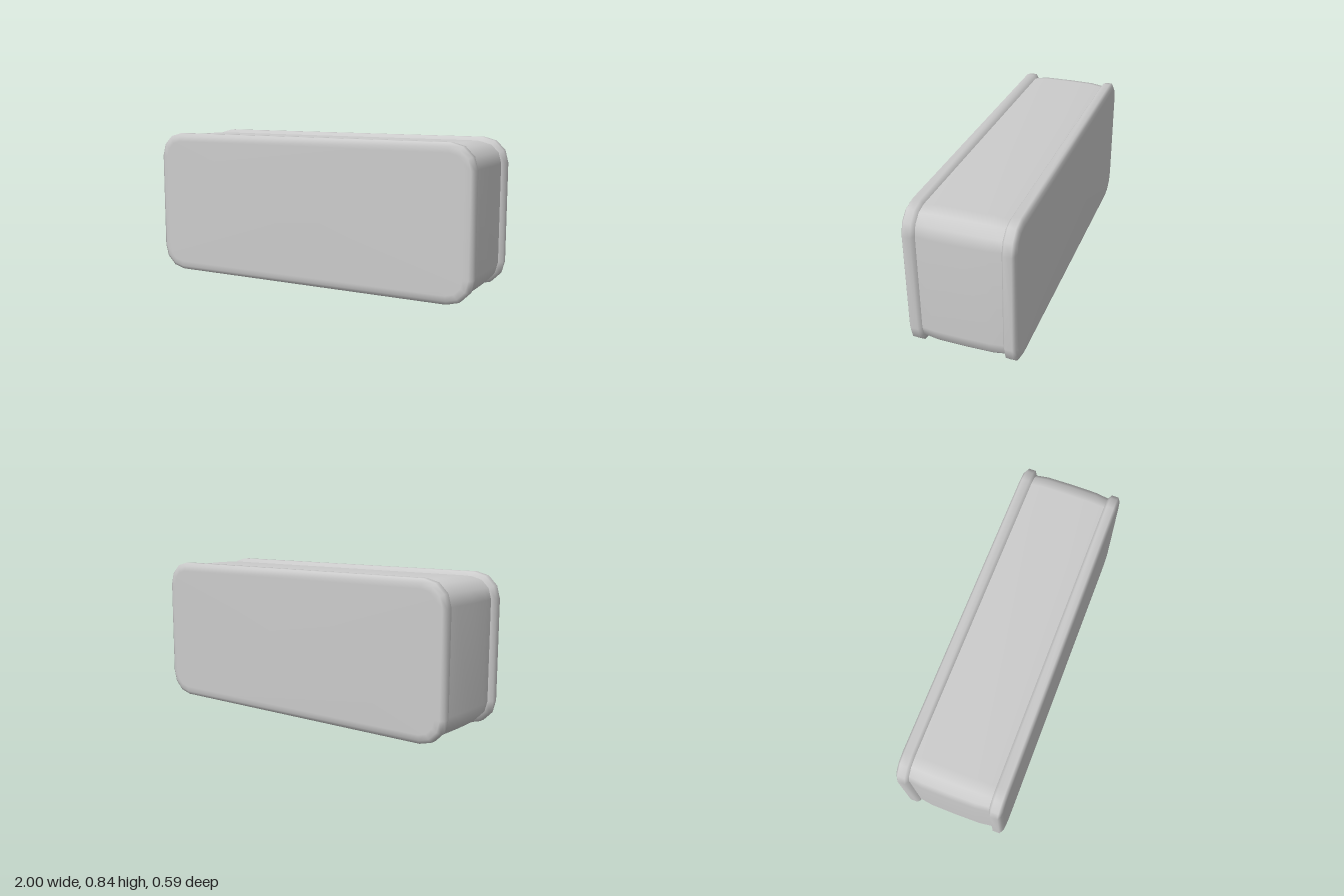
import * as THREE from 'three';

const HALF_W = 1, HALF_H = 0.419, RADIUS = 0.14, CORNER_STEPS = 3;

// Rounded rectangle, counter-clockwise seen from +z, shrunk by inset
function outline(inset) {
  const r = RADIUS - inset, cx = HALF_W - RADIUS, cy = HALF_H - RADIUS;
  const points = [];
  [[1, 1], [-1, 1], [-1, -1], [1, -1]].forEach(([sx, sy], corner) => {
    for (let i = 0; i <= CORNER_STEPS; i++) {
      const a = (corner + i / CORNER_STEPS) * Math.PI / 2;
      points.push([sx * cx + r * Math.cos(a), sy * cy + r * Math.sin(a)]);
    }
  });
  return points;
}

// Skin through outlines given as [z, inset], in order of rising z
function loft(sections, capped) {
  const positions = [], index = [];
  const n = 4 * (CORNER_STEPS + 1);
  for (const [z, inset] of sections) {
    for (const [x, y] of outline(inset)) positions.push(x, y, z);
  }
  for (let s = 0; s < sections.length - 1; s++) {
    for (let i = 0; i < n; i++) {
      const a = s * n + i, b = s * n + (i + 1) % n;
      index.push(a, b, b + n, a, b + n, a + n);
    }
  }
  if (capped) {
    const base = (sections.length - 1) * n, centre = sections.length * n;
    positions.push(0, 0, sections[sections.length - 1][0]);
    for (let i = 0; i < n; i++) index.push(base + i, base + (i + 1) % n, centre);
  }
  const geometry = new THREE.BufferGeometry();
  geometry.setAttribute('position', new THREE.Float32BufferAttribute(positions, 3));
  geometry.setIndex(index);
  geometry.computeVertexNormals();
  return geometry;
}

export function createModel() {
  const group = new THREE.Group();
  const material = new THREE.MeshStandardMaterial({ color: 0xcccccc, side: THREE.DoubleSide });

  // Slightly bulging body between the two covers
  const body = new THREE.Mesh(loft([
    [-0.223, 0.024], [-0.15, 0.014], [0, 0.012], [0.15, 0.014], [0.223, 0.024],
  ], false), material);
  body.name = 'body';
  group.add(body);

  // Matching front and back covers with rounded rims
  const coverGeometry = loft([
    [0.223, 0.024], [0.238, 0], [0.279, 0], [0.292, 0.02], [0.296, 0.05],
  ], true);
  for (const name of ['frontCover', 'backCover']) {
    const cover = new THREE.Mesh(coverGeometry, material);
    cover.name = name;
    if (name === 'backCover') cover.rotation.y = Math.PI;
    group.add(cover);
  }

  group.children.forEach((part) => { part.position.y = HALF_H; });
  return group;
}
